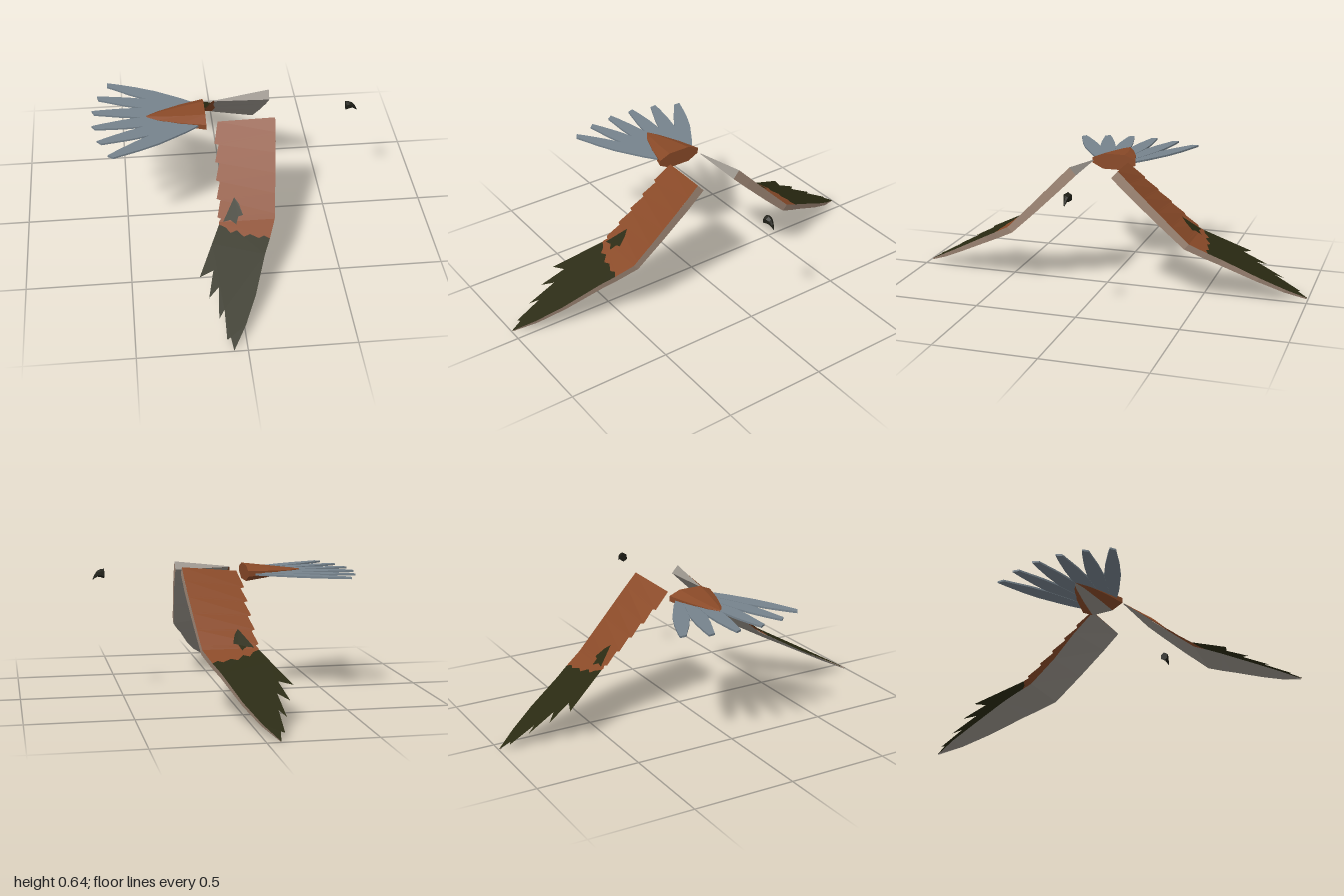
import * as THREE from 'three';

const mat = (name, color, side = THREE.DoubleSide) => {
  const m = new THREE.MeshStandardMaterial({ color, side, flatShading: true });
  m.name = name;
  return m;
};

// Strip of quads between rows of points; every row has the same length
function loft(rows, closed = false) {
  const pos = rows.flat(2), idx = [], n = rows[0].length;
  for (let i = 0; i + 1 < rows.length; i++)
    for (let j = 0; j < (closed ? n : n - 1); j++) {
      const k = (j + 1) % n, a = i * n + j, b = i * n + k, c = a + n, d = b + n;
      idx.push(a, b, d, a, d, c);
    }
  const g = new THREE.BufferGeometry();
  g.setAttribute('position', new THREE.Float32BufferAttribute(pos, 3));
  g.setIndex(idx);
  g.computeVertexNormals();
  return g;
}

// Height of the wing's upper surface: steep inner half, flatter outer half
function wingY(x, z) {
  if (z > 0.46) return 0.30 - (z - 0.46) * 0.555;
  const camber = 0.055 * (0.22 - x) / 0.27 * (0.46 - z) / 0.36;
  return 0.30 + (0.46 - z) - camber;
}

export function createModel() {
  const rust = mat('rust plumage', 0x8a4a28);
  const dark = mat('dark olive plumage', 0x2a2a12);
  const grey = mat('blue grey feathers', 0x76838d);
  const pale = mat('pale underside', 0x98928a);
  const tan = mat('tan leading edge', 0xa58c7a);
  const black = mat('black beak', 0x1e1e16);

  const model = new THREE.Group();
  const add = (parent, name, geo, material) => {
    const m = new THREE.Mesh(geo, material);
    m.name = name;
    parent.add(m);
    return m;
  };

  // Colour boundary across the wing, from trailing to leading edge, as [x, z]
  const border = [[-0.08, 0.47], [-0.05, 0.485], [-0.03, 0.51], [0, 0.5], [0.03, 0.53],
    [0.06, 0.52], [0.1, 0.54], [0.125, 0.53], [0.15, 0.545]];
  const primaries = [[0.12, 0.61], [0.058, 0.78], [0, 0.9], [-0.063, 1], [-0.073, 0.945],
    [-0.09, 0.955], [-0.09, 0.83], [-0.118, 0.87], [-0.105, 0.735], [-0.155, 0.78],
    [-0.125, 0.665], [-0.19, 0.69], [-0.12, 0.55]];
  const patch = [[0, 0.375], [0.02, 0.4], [0.035, 0.44], [0.012, 0.445], [0, 0.475], [-0.025, 0.455], [-0.06, 0.46]];

  // Leading edge stations: z, leading x, trailing x and trailing z of the lining, thickness
  const stations = [
    [0.12, 0.222, -0.045, 0.092, 0.05],
    [0.2, 0.216, -0.045, 0.2, 0.048],
    [0.33, 0.2, -0.025, 0.33, 0.043],
    [0.46, 0.183, -0.03, 0.46, 0.036],
    [0.545, 0.15, -0.05, 0.545, 0.034],
    [0.61, 0.12, -0.06, 0.61, 0.032],
    [0.78, 0.058, -0.07, 0.78, 0.024],
    [0.9, 0, -0.075, 0.9, 0.018],
    [0.995, -0.062, -0.064, 0.995, 0.008],
  ];
  const leadX = z => {
    for (let i = 1; i < 4; i++) {
      const [z0, x0] = stations[i - 1], [z1, x1] = stations[i];
      if (z <= z1) return x0 + (x1 - x0) * (z - z0) / (z1 - z0);
    }
    return 0.183;
  };

  for (const [side, s] of [['left', 1], ['right', -1]]) {
    const wing = new THREE.Group();
    wing.name = side + 'Wing';
    model.add(wing);
    const at = (x, z, t = 0) => [x, wingY(x, z) - 0.75 * t, s * (z - 0.65 * t)];
    const drape = (outline, lift = 0) => {
      const g = new THREE.ShapeGeometry(new THREE.Shape(outline.map(p => new THREE.Vector2(...p))));
      const p = g.attributes.position;
      for (let i = 0; i < p.count; i++) p.setXYZ(i, ...at(p.getX(i), p.getY(i), -lift));
      if (s > 0) g.index.array.reverse();
      g.computeVertexNormals();
      return g;
    };

    // Inner upper surface with a stepped row of feather ends
    const rows = [[at(-0.05, 0.09), at(0.222, 0.12)]];
    for (let i = 0; i < 5; i++) {
      const z = 0.17 + i * 0.068;
      rows.push([at(-0.073 - i * 0.003, z), at(leadX(z), z)]);
      rows.push([at(-0.053 - i * 0.004, z + 0.006), at(leadX(z + 0.006), z + 0.006)]);
    }
    rows.push([at(-0.08, 0.46), at(0.183, 0.46)]);
    if (s < 0) rows.reverse();
    add(wing, 'innerCoverts', loft(rows), rust);
    add(wing, 'outerCoverts', drape([[0.183, 0.46], [-0.08, 0.46], ...border].reverse()), rust);
    add(wing, 'primaryFeathers', drape([...border, ...primaries]), dark);
    add(wing, 'darkPatch', drape(patch, 0.005), dark);

    // Blunt leading edge, lining underneath and the root end
    add(wing, 'leadingEdge', loft(stations.map(([z, x, , , t]) => [at(x, z), at(x, z, t)])), tan);
    add(wing, 'wingLining', loft(stations.map(([z, x, xt, zt, t]) => [at(x, z, t), at(xt, zt, 0.004)])), pale);
    add(wing, 'wingRoot', loft([[at(0.222, 0.12), at(0.222, 0.12, 0.05)], [at(-0.05, 0.09), at(-0.05, 0.09, 0.004)]]), pale);
  }

  // Tail cone: flattened octagon tapering to the rear
  const tail = new THREE.Group();
  tail.name = 'tail';
  model.add(tail);
  const ring = (x, w, up, down) => [
    [x, 0.6 + up, 0.5 * w], [x, 0.6 + up * 0.35, w], [x, 0.6 - down * 0.35, w], [x, 0.6 - down, 0.5 * w],
    [x, 0.6 - down, -0.5 * w], [x, 0.6 - down * 0.35, -w], [x, 0.6 + up * 0.35, -w], [x, 0.6 + up, -0.5 * w]];
  const rings = [ring(-0.105, 0.112, 0.035, 0.043), ring(-0.22, 0.08, 0.023, 0.028),
    ring(-0.33, 0.038, 0.012, 0.013), ring(-0.385, 0.004, 0.006, 0.006)];
  const upper = rings.map(r => [...r.slice(4), ...r.slice(0, 4)]);
  add(tail, 'tailCoverts', loft(upper), rust);
  add(tail, 'tailUnderside', loft(rings.map(r => [r[3], r[4]])), pale);
  const rim = rings[0].map(([, y, z]) => new THREE.Vector2(-z, y));
  const cap = add(tail, 'tailFront', new THREE.ShapeGeometry(new THREE.Shape(rim)), rust);
  cap.rotation.y = Math.PI / 2;
  cap.position.x = -0.105;

  // Six fanned tail feathers, as thin plates with slanted ends
  const half = [[0.13, 0.016], [0.25, 0.032], [0.4, 0.04], [0.5, 0.034], [0.6, 0.021], [0.635, 0.017]];
  for (let i = 0; i < 6; i++) {
    const outline = [...half, [0.65, -0.012], ...half.slice(0, 5).reverse().map(([r, w]) => [r, -w])];
    const g = new THREE.ExtrudeGeometry(new THREE.Shape(outline.map(p => new THREE.Vector2(...p))),
      { depth: 0.009, bevelEnabled: false });
    g.rotateX(-Math.PI / 2);
    const f = add(tail, 'tailFeather', g, grey);
    f.rotation.y = Math.PI + (i - 2.5) * 0.199;
    f.position.y = 0.589 + i * 0.0016;
  }

  // Hooked beak: cross-sections narrowing to a downturned tip
  const beak = [[0.584, 0.627, 0.58, 0.022], [0.6, 0.626, 0.586, 0.019], [0.617, 0.618, 0.589, 0.013],
    [0.63, 0.6, 0.581, 0.007], [0.64, 0.578, 0.574, 0.001]].map(([x, t, b, w]) => {
    const m = (t + b) / 2, q = (t - b) / 4;
    return [[x, t, 0], [x, m + q, w * 0.85], [x, m - q, w * 0.85], [x, b, 0], [x, m - q, -w * 0.85], [x, m + q, -w * 0.85]];
  });
  const back = beak[0].map(() => [0.584, 0.603, 0]);
  add(model, 'beak', loft([back, ...beak], true), black);

  return model;
}
